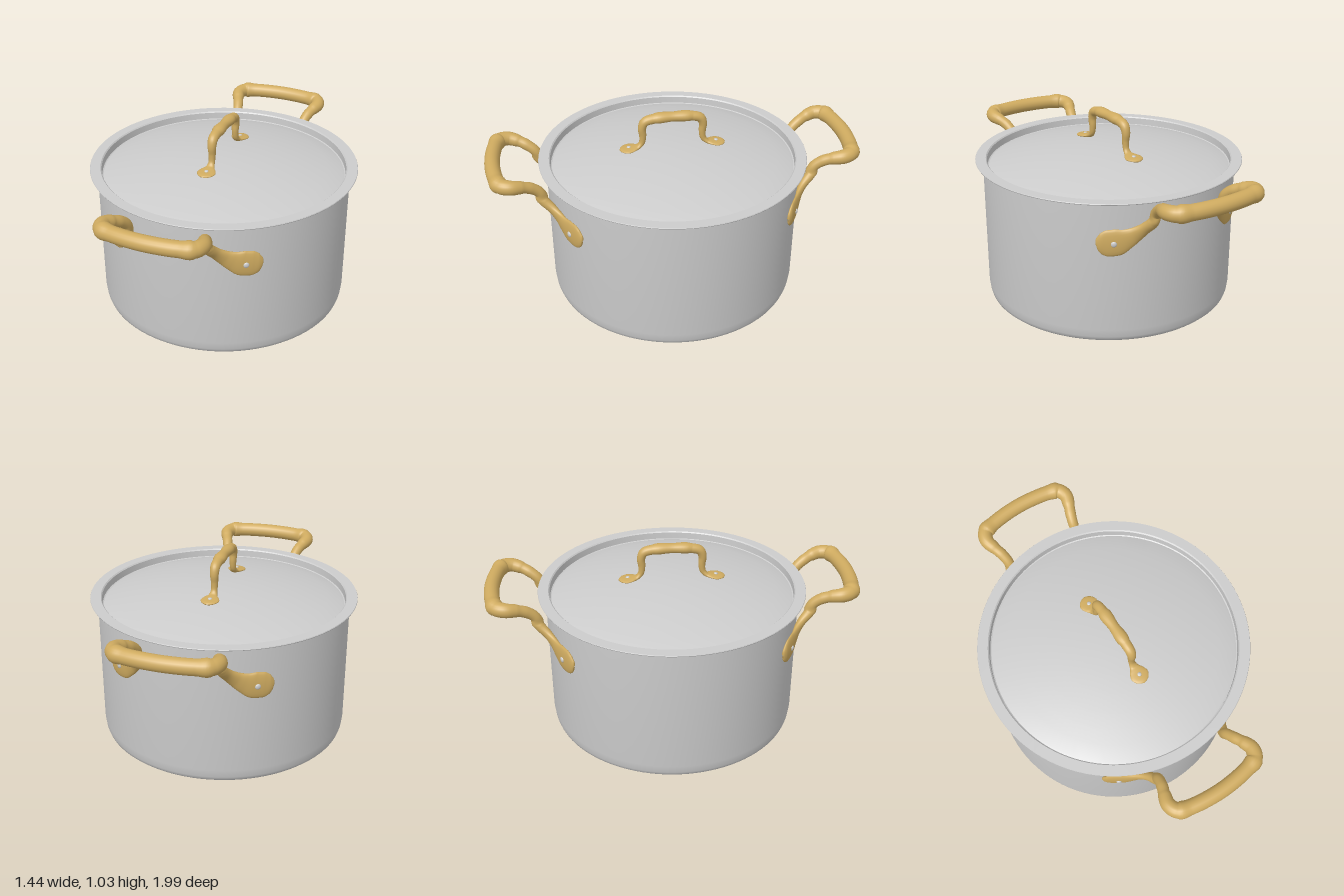
import * as THREE from 'three';
import { toCreasedNormals } from 'three/addons/utils/BufferGeometryUtils.js';

const V = (x, y, z) => new THREE.Vector3(x, y, z);
const steel = new THREE.MeshStandardMaterial({ color: 0xcccccc });
const brass = new THREE.MeshStandardMaterial({ color: 0xcfab60 });
const WALL = 0.68;
const lidHeight = (r) => 0.835 - 0.217 * r * r;

function mesh(name, geometry, material) {
  const m = new THREE.Mesh(geometry, material);
  m.name = name;
  return m;
}

// Revolved profile of [radius, y] pairs with sharp edges kept
function lathe(name, profile) {
  const pts = profile.map(([r, y]) => new THREE.Vector2(r, y));
  return mesh(name, toCreasedNormals(new THREE.LatheGeometry(pts, 96), 0.6), steel);
}

// Sweep an ellipse along a path; each station is { p, s: (half width, half thickness, blend) }
function sweep(stations, sideAt, sides = 20, perSpan = 7) {
  const path = new THREE.CatmullRomCurve3(stations.map((k) => k.p));
  const sizes = new THREE.CatmullRomCurve3(stations.map((k) => k.s));
  const n = (stations.length - 1) * perSpan;
  const pos = [], index = [];
  for (let i = 0; i <= n; i++) {
    const p = path.getPoint(i / n), t = path.getTangent(i / n), s = sizes.getPoint(i / n);
    const side = sideAt(p, t, s.z).normalize();
    const normal = t.clone().cross(side);
    for (let j = 0; j < sides; j++) {
      const a = (j / sides) * Math.PI * 2;
      const v = p.clone()
        .addScaledVector(side, Math.max(s.x, 0) * Math.cos(a))
        .addScaledVector(normal, Math.max(s.y, 0) * Math.sin(a));
      pos.push(v.x, v.y, v.z);
      if (i < n) {
        const b = i * sides + j, c = i * sides + (j + 1) % sides;
        index.push(b, c, b + sides, c, c + sides, b + sides);
      }
    }
  }
  const g = new THREE.BufferGeometry();
  g.setAttribute('position', new THREE.Float32BufferAttribute(pos, 3));
  g.setIndex(index);
  g.computeVertexNormals();
  return g;
}

// Complete a half path by mirroring it; the last station lies on the mirror plane
function mirrored(half, flip) {
  const rest = half.slice(0, -1).reverse().map((k) => ({ p: k.p.clone().multiply(flip), s: k.s.clone() }));
  return [...half, ...rest];
}

// Flattened dome lying against a surface
function rivet(position, outward, r) {
  const m = mesh('rivet', new THREE.SphereGeometry(r, 16, 10), steel);
  m.scale.z = 0.5;
  m.position.copy(position);
  m.quaternion.setFromUnitVectors(V(0, 0, 1), outward.clone().normalize());
  return m;
}

function sideHandle() {
  const g = new THREE.Group();
  g.name = 'sideHandle';
  const onWall = (x, y, r) => V(x, y, Math.sqrt(r * r - x * x));
  // Mounting pad hugging the wall: x, y, radius, half width, half thickness
  const pad = [
    [0.428, 0.565, 0.685, 0.004, 0.004], [0.424, 0.566, 0.686, 0.03, 0.009],
    [0.41, 0.567, 0.687, 0.055, 0.013], [0.385, 0.569, 0.687, 0.07, 0.014],
    [0.345, 0.574, 0.687, 0.071, 0.015], [0.3, 0.592, 0.688, 0.054, 0.016],
    [0.265, 0.615, 0.692, 0.041, 0.019], [0.234, 0.65, 0.71, 0.031, 0.023],
  ].map(([x, y, r, w, t]) => ({ p: onWall(x, y, r), s: V(w, t, 0) }));
  // Leg, arm and grip: x, y, z, radius, blend of reference direction
  const grip = [
    [0.215, 0.695, 0.712, 0.028, 0], [0.212, 0.742, 0.728, 0.028, 0.3],
    [0.224, 0.779, 0.772, 0.03, 0.8], [0.243, 0.8, 0.82, 0.034, 1],
    [0.256, 0.811, 0.87, 0.038, 1], [0.236, 0.815, 0.917, 0.04, 1],
    [0.17, 0.816, 0.94, 0.04, 1], [0, 0.817, 0.957, 0.04, 1],
  ].map(([x, y, z, r, b]) => ({ p: V(x, y, z), s: V(r, r, b) }));
  const sideAt = (p, t, b) =>
    V(p.x, 0, p.z).normalize().lerp(V(0, -1, 0), THREE.MathUtils.clamp(b, 0, 1)).cross(t);
  g.add(mesh('grip', sweep(mirrored([...pad, ...grip], V(-1, 1, 1)), sideAt), brass));
  for (const s of [1, -1]) {
    const p = onWall(0.365, 0.57, 0.701);
    p.x *= s;
    g.add(rivet(p, V(p.x, 0, p.z), 0.015));
  }
  return g;
}

function lidHandle() {
  const g = new THREE.Group();
  g.name = 'lidHandle';
  // y, z, half width, half thickness
  const half = [
    [0.822, 0.286, 0.003, 0.003], [0.824, 0.281, 0.02, 0.006], [0.826, 0.268, 0.038, 0.008],
    [0.828, 0.24, 0.05, 0.009], [0.831, 0.212, 0.041, 0.01], [0.836, 0.188, 0.024, 0.012],
    [0.858, 0.167, 0.017, 0.016], [0.9, 0.161, 0.019, 0.019], [0.945, 0.164, 0.023, 0.022],
    [0.98, 0.149, 0.026, 0.025], [0.995, 0.1, 0.028, 0.026], [0.999, 0, 0.028, 0.026],
  ].map(([y, z, w, t]) => ({ p: V(0, y, z), s: V(w, t, 0) }));
  g.add(mesh('lidGrip', sweep(mirrored(half, V(1, 1, -1)), () => V(1, 0, 0)), brass));
  for (const s of [1, -1]) g.add(rivet(V(0, 0.837, 0.238 * s), V(0, 1, 0.1 * s), 0.011));
  return g;
}

export function createModel() {
  const model = new THREE.Group();
  model.name = 'cookingPot';

  // Pot: rounded base, straight wall, hollow inside
  model.add(lathe('potBody', [
    [0, 0], [0.55, 0.001], [0.635, 0.004], [0.657, 0.009], [0.669, 0.02], [0.675, 0.038],
    [WALL, 0.08], [WALL, 0.781], [0.668, 0.781], [0.668, 0.07], [0.65, 0.025], [0, 0.02],
  ]));

  // Lid: shallow dome set into a recess, with a thin flat rim
  const dome = [0.64, 0.56, 0.48, 0.4, 0.3, 0.2, 0.1, 0].map((r) => [r, lidHeight(r)]);
  model.add(lathe('lid', [
    [0, 0.825], [0.3, 0.805], [0.64, 0.736], [0.664, 0.736], [0.667, 0.78],
    [0.718, 0.78], [0.72, 0.784], [0.718, 0.788], [0.664, 0.788], [0.658, 0.782],
    [0.656, 0.745], [0.65, 0.742], ...dome,
  ]));
  model.add(lidHandle());

  // Two side handles, front and back
  for (const turn of [0, Math.PI]) {
    const h = sideHandle();
    h.rotation.y = turn;
    model.add(h);
  }
  return model;
}
